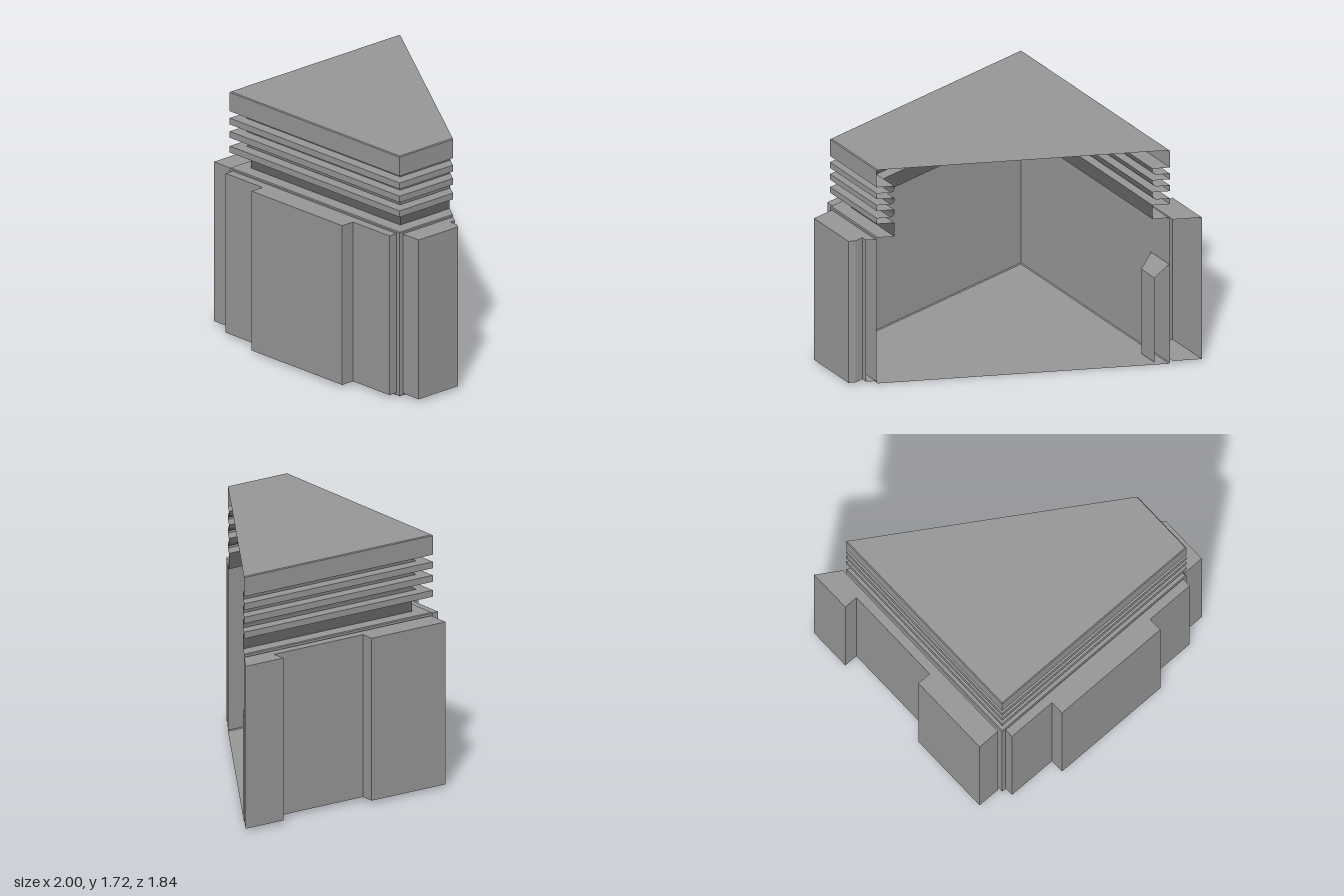
import * as THREE from 'three';

const shellMaterial = new THREE.MeshStandardMaterial({ color: 0x969696, side: THREE.DoubleSide });
const neckMaterial = new THREE.MeshStandardMaterial({ color: 0x626262, side: THREE.DoubleSide });

// Depth of the diagonal cut plane at a given x
const cutZ = (x) => 0.645 * x - 0.275;

// Faceted surface joining a stack of equal-length rings of [x, y, z] points
function loft(rings) {
  const positions = [];
  for (let r = 0; r < rings.length - 1; r++) {
    for (let i = 0; i < rings[r].length - 1; i++) {
      const a = rings[r][i], b = rings[r][i + 1];
      const c = rings[r + 1][i + 1], d = rings[r + 1][i];
      positions.push(...a, ...b, ...c, ...a, ...c, ...d);
    }
  }
  const geometry = new THREE.BufferGeometry();
  geometry.setAttribute('position', new THREE.Float32BufferAttribute(positions, 3));
  geometry.computeVertexNormals();
  return geometry;
}

// Flat horizontal face from an [x, z] outline, facing up or down
function plate(outline, y, up) {
  const flip = up ? -1 : 1;
  const shape = new THREE.Shape(outline.map(([x, z]) => new THREE.Vector2(x, z * flip)));
  return new THREE.ShapeGeometry(shape).rotateX(up ? -Math.PI / 2 : Math.PI / 2).translate(0, y, 0);
}

function addMesh(parent, name, geometry, material = shellMaterial) {
  const mesh = new THREE.Mesh(geometry, material);
  mesh.name = name;
  parent.add(mesh);
}

// Hollow upright panel: walls along a path, with top and bottom plates
function addPanel(parent, name, path, closing = []) {
  const panel = new THREE.Group();
  panel.name = name;
  const bottom = 0.02, top = 1.16;
  addMesh(panel, name + 'Walls', loft([bottom, top].map((y) => path.map(([x, z]) => [x, y, z]))));
  const outline = [...path, ...closing];
  addMesh(panel, name + 'Top', plate(outline, top, true));
  addMesh(panel, name + 'Bottom', plate(outline, bottom, false));
  parent.add(panel);
}

// Plan of the three-sided casing, inset by d and left open along the cut
function casingPlan(d) {
  const left = -0.82 + d, right = 0.84 - d, front = 0.755 - d;
  return [[left, cutZ(left)], [left, front], [right, front], [right, cutZ(right)]];
}

// Casing walls following a profile of [inset, height] points
const casingWalls = (profile) =>
  loft(profile.map(([d, y]) => casingPlan(d).map(([x, z]) => [x, y, z])));

export function createModel() {
  const model = new THREE.Group();
  model.name = 'cutawayCasing';

  // Lower body with its ledge
  const neck = 0.1, bevel = 0.006;
  addMesh(model, 'bodyWalls', casingWalls([
    [bevel, 0], [0, bevel], [0, 1.175 - bevel], [bevel, 1.175], [neck, 1.175],
  ]));
  addMesh(model, 'floor', plate(casingPlan(bevel), 0, false));

  // Three hollow fins with dark neck bands between them
  let neckStart = [[neck, 1.175]];
  for (const y of [1.285, 1.39, 1.485]) {
    addMesh(model, 'neckBand', casingWalls([...neckStart, [neck, y]]), neckMaterial);
    addMesh(model, 'fin', casingWalls([
      [neck, y], [0, y], [0, y + 0.045], [neck - 0.02, y + 0.045],
    ]));
    neckStart = [[neck - 0.02, y + 0.045], [neck - 0.006, y + 0.055], [neck, y + 0.07]];
  }
  addMesh(model, 'neckBand', casingWalls([...neckStart, [neck, 1.58]]), neckMaterial);

  // Cap
  addMesh(model, 'capWalls', casingWalls([
    [neck, 1.58], [0, 1.58], [0, 1.72 - bevel], [bevel, 1.72],
  ]));
  addMesh(model, 'roof', plate(casingPlan(bevel), 1.72, true));

  // Stepped front panel
  addPanel(model, 'frontPanel', [
    [-0.79, 0.757], [-0.79, 0.82], [-0.43, 0.82], [-0.43, 0.92],
    [0.455, 0.92], [0.455, 0.82], [0.81, 0.82], [0.81, 0.757], [-0.79, 0.757],
  ]);

  // Side panels, open at the cut
  addPanel(model, 'rightSidePanel', [
    [-1, cutZ(-1)], [-1, -0.61], [-0.9, -0.61], [-0.9, 0.12],
    [-1, 0.12], [-1, 0.73], [-0.835, 0.73],
  ], [[-0.835, cutZ(-0.835)]]);
  addPanel(model, 'leftSidePanel', [
    [0.845, 0.73], [1, 0.73], [1, cutZ(1)], [0.96, 0.345], [0.9, 0.345], [0.9, cutZ(0.9)],
  ], [[0.845, cutZ(0.845)]]);

  // Inner block on the right wall with a sloping top, trimmed by the cut
  const blockRing = (x, y) => [
    [-0.82, y, -0.61], [x, y, -0.61], [x, y, cutZ(x)],
  ];
  addMesh(model, 'innerBlock', loft([
    blockRing(-0.73, 0.02), blockRing(-0.73, 0.7), blockRing(-0.815, 0.8),
  ]));

  return model;
}
